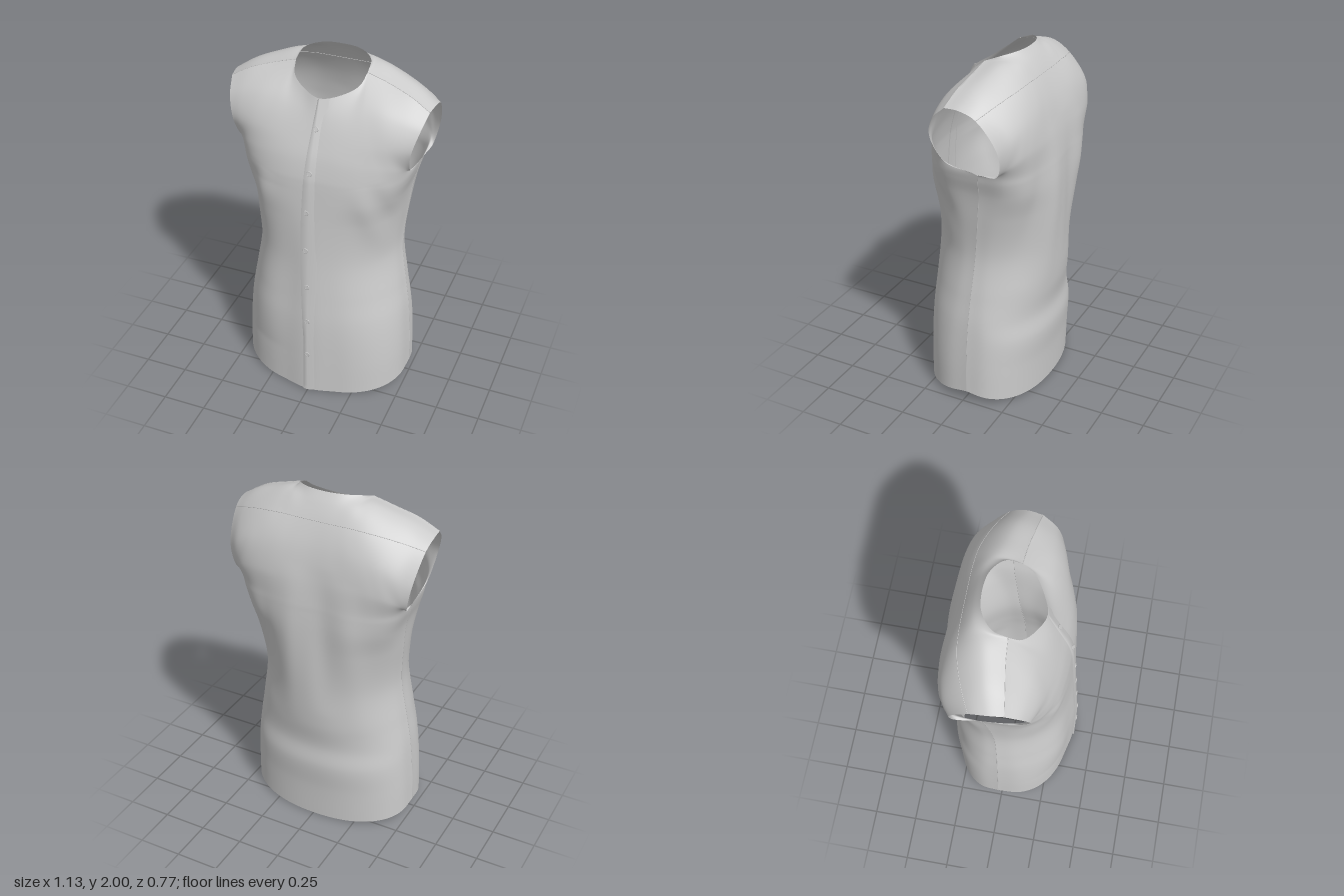
import * as THREE from 'three';

const cloth = new THREE.MeshStandardMaterial({ color: 0xcccccc, side: THREE.DoubleSide });
const V = (x, y, z) => new THREE.Vector3(x, y, z);

// Body levels: height, half width, front depth, back depth, side seam depth, roundness
const LEVELS = [
  [0, 0.493, 0.378, -0.33, -0.02, 0.82],
  [0.2, 0.488, 0.377, -0.337, -0.02, 0.82],
  [0.37, 0.479, 0.375, -0.35, -0.022, 0.86],
  [0.5, 0.468, 0.371, -0.338, -0.025, 0.92],
  [0.66, 0.445, 0.361, -0.358, -0.03, 1.02],
  [0.9, 0.413, 0.346, -0.371, -0.045, 1.08],
  [1.15, 0.43, 0.332, -0.378, -0.07, 0.88],
  [1.3, 0.448, 0.321, -0.377, -0.087, 0.62],
  [1.39, 0.472, 0.313, -0.373, -0.096, 0.57],
  [1.435, 0.482, 0.307, -0.37, -0.1, 0.56],
];

// Upper rows run from the centre line to the armhole edge
const SHOULDER = [[0.2, 1.95, 0], [0.32, 1.915, 0.01], [0.45, 1.87, 0.03], [0.555, 1.81, 0.045]];
const FRONT_ROWS = [
  [[0, 1.54, 0.281], [0.155, 1.54, 0.278], [0.265, 1.54, 0.262], [0.352, 1.535, 0.236], [0.418, 1.525, 0.2], [0.458, 1.505, 0.152], [0.48, 1.473, 0.09]],
  [[0, 1.64, 0.243], [0.115, 1.64, 0.243], [0.215, 1.645, 0.236], [0.3, 1.65, 0.224], [0.38, 1.645, 0.21], [0.45, 1.63, 0.19], [0.5, 1.61, 0.167]],
  [[0, 1.75, 0.198], [0.095, 1.755, 0.189], [0.175, 1.77, 0.174], [0.245, 1.795, 0.155], [0.345, 1.79, 0.15], [0.45, 1.76, 0.143], [0.532, 1.73, 0.13]],
  [[0, 1.84, 0.163], [0.105, 1.86, 0.123], [0.18, 1.9, 0.065], ...SHOULDER],
];
const BACK_ROWS = [
  [[0, 1.58, -0.35], [0.15, 1.58, -0.354], [0.265, 1.575, -0.35], [0.36, 1.565, -0.338], [0.43, 1.545, -0.315], [0.477, 1.51, -0.275], [0.505, 1.46, -0.222]],
  [[0, 1.74, -0.31], [0.12, 1.74, -0.314], [0.22, 1.74, -0.317], [0.31, 1.725, -0.315], [0.39, 1.705, -0.306], [0.47, 1.66, -0.287], [0.535, 1.6, -0.245]],
  [[0, 1.87, -0.253], [0.1, 1.87, -0.253], [0.19, 1.87, -0.25], [0.28, 1.862, -0.241], [0.38, 1.842, -0.214], [0.48, 1.81, -0.175], [0.56, 1.775, -0.135]],
  [[0, 1.945, -0.208], [0.1, 1.947, -0.2], [0.18, 1.953, -0.178], [0.24, 1.957, -0.13], [0.34, 1.925, -0.105], [0.46, 1.877, -0.08], [0.565, 1.813, -0.045]],
  [[0, 2, -0.165], [0.11, 1.998, -0.147], [0.188, 1.983, -0.082], ...SHOULDER],
];

// Cloth folds: start x, y, end x, y, outward height, width
const FRONT_FOLDS = [
  [-0.3, 1.35, -0.32, 0.25, 0.035, 0.14],
  ...[1, -1].flatMap((s) => [
    [s * 0.26, 1.42, s * 0.4, 0.9, 0.012, 0.06],
    [s * 0.34, 1.45, s * 0.41, 1.0, -0.012, 0.04],
  ]),
];
const BACK_FOLDS = [
  [0.09, 1.65, 0.14, 0.65, 0.012, 0.07], [-0.08, 1.65, -0.1, 0.75, -0.013, 0.07],
  [-0.22, 1.6, -0.28, 0.6, 0.01, 0.07], [0.26, 1.55, 0.3, 0.7, -0.01, 0.06],
];

// Half of a rounded body section: hem rises to the sides, front peaks at the placket
function ring([y, w, front, back, side, round], dir) {
  return Array.from({ length: 7 }, (_, i) => {
    const a = (i / 6) * Math.PI / 2;
    const s = Math.sin(a) ** ((1 + round) / 2);
    const c = i === 6 ? 0 : Math.cos(a) ** round;
    const peak = i > 0 ? 0.016 * Math.max(0, 1 - y / 1.4) : 0;
    const depth = dir > 0 ? front - peak : back;
    return [w * s, y + 0.065 * (1 - c) * Math.max(0, 1 - y / 0.6), side + (depth - side) * c];
  });
}

// Curve across the full width of a mirrored half row
function rowCurve(half) {
  const mirrored = half.slice(1).reverse().map(([x, y, z]) => V(-x, y, z));
  return new THREE.CatmullRomCurve3([...mirrored, ...half.map((p) => V(...p))]);
}

// Top edge: shoulder, neckline and shoulder meet at sharp corners
function topCurve(half) {
  const { points } = rowCurve(half);
  const [left, neck, right] = [[0, 4], [3, 10], [9, 13]].map(([a, b]) => new THREE.CatmullRomCurve3(points.slice(a, b)));
  return {
    getPoint: (u) => u < 0.25 ? left.getPoint(u * 4) : u > 0.75 ? right.getPoint(u * 4 - 3) : neck.getPoint(u * 2 - 0.5),
  };
}

// Folds swell in the middle and die out at both ends
function foldHeight(folds, p) {
  return folds.reduce((sum, [x0, y0, x1, y1, h, w]) => {
    const dx = x1 - x0, dy = y1 - y0;
    const t = THREE.MathUtils.clamp(((p.x - x0) * dx + (p.y - y0) * dy) / (dx * dx + dy * dy), 0, 1);
    const d = Math.hypot(p.x - x0 - t * dx, p.y - y0 - t * dy);
    return sum + h * Math.sin(Math.PI * t) * Math.exp(-((d / w) ** 2));
  }, 0);
}

// Lofted cloth panel; dir is +1 for the front and -1 for the back
function panel(name, upperRows, folds, dir) {
  const NU = 72, NV = 120;
  const lower = [...LEVELS.map((l) => ring(l, dir)), ...upperRows.slice(0, -1)];
  const rows = [...lower.map(rowCurve), topCurve(upperRows.at(-1))];
  const geo = new THREE.PlaneGeometry(1, 1, NU, NV);
  for (let i = 0; i <= NU; i++) {
    const u = dir > 0 ? i / NU : 1 - i / NU;
    const column = new THREE.CatmullRomCurve3(rows.map((r) => r.getPoint(u)));
    const fade = Math.min(1, 6 * Math.min(u, 1 - u));
    for (let j = 0; j <= NV; j++) {
      const p = column.getPoint(1 - j / NV);
      p.z += dir * fade * foldHeight(folds, p);
      geo.attributes.position.setXYZ(j * (NU + 1) + i, p.x, p.y, p.z);
    }
  }
  geo.computeVertexNormals();
  const mesh = new THREE.Mesh(geo, cloth);
  mesh.name = name;
  return mesh;
}

function seam(name, points) {
  const curve = new THREE.CatmullRomCurve3(points);
  const mesh = new THREE.Mesh(new THREE.TubeGeometry(curve, 48, 0.0018, 5), cloth);
  mesh.name = name;
  return mesh;
}

export function createModel() {
  const shirt = new THREE.Group();
  shirt.name = 'sleevelessShirt';
  shirt.add(panel('frontPanel', FRONT_ROWS, FRONT_FOLDS, 1));
  shirt.add(panel('backPanel', BACK_ROWS, BACK_FOLDS, -1));

  // Yoke, shoulder and side seams
  shirt.add(seam('yokeSeam', rowCurve(BACK_ROWS[2]).getPoints(48)));
  for (const s of [-1, 1]) {
    shirt.add(seam('shoulderSeam', SHOULDER.map(([x, y, z]) => V(s * x, y, z))));
    shirt.add(seam('sideSeam', LEVELS.map(([y, w, , , z]) => V(s * w, y + 0.065 * Math.max(0, 1 - y / 0.6), z))));
  }

  // Overlapping button placket down the centre front
  const centre = new THREE.CatmullRomCurve3([
    ...LEVELS.map(([y, , z]) => V(0, y, z)),
    ...FRONT_ROWS.map((r) => V(...r[0])),
  ]);
  const N = 80;
  const strip = new THREE.PlaneGeometry(1, 1, 3, N);
  for (let j = 0; j <= N; j++) {
    const p = centre.getPoint(1 - j / N);
    const edge = -0.008 - 0.03 * Math.sin(Math.PI * Math.min(1, (1.84 - p.y) / 1.45)) - 0.018 * (1 - p.y / 1.84);
    [[edge, -0.004], [edge, 0.007], [0, 0.007], [0.05, -0.006]].forEach(([x, dz], i) =>
      strip.attributes.position.setXYZ(j * 4 + i, x, p.y, p.z + dz));
  }
  strip.computeVertexNormals();
  const placket = new THREE.Mesh(strip, cloth);
  placket.name = 'placket';
  shirt.add(placket);

  // Seven rimmed buttons following the slope of the front
  const line = centre.getPoints(400);
  for (const [x, y] of [[0, 0.275], [0, 0.515], [-0.005, 0.75], [-0.015, 0.99], [-0.015, 1.23], [-0.003, 1.465], [0.003, 1.695]]) {
    const k = line.findIndex((p) => p.y >= y);
    const slope = line[k + 1].clone().sub(line[k - 1]);
    const button = new THREE.Group();
    button.name = 'button';
    const disc = new THREE.Mesh(new THREE.CylinderGeometry(0.013, 0.013, 0.004, 16).rotateX(Math.PI / 2), cloth);
    disc.name = 'buttonDisc';
    const rim = new THREE.Mesh(new THREE.TorusGeometry(0.013, 0.003, 6, 18), cloth);
    rim.name = 'buttonRim';
    button.add(disc, rim);
    button.position.set(x, y, line[k].z + 0.009);
    button.rotation.x = Math.atan2(slope.z, slope.y);
    shirt.add(button);
  }
  return shirt;
}
